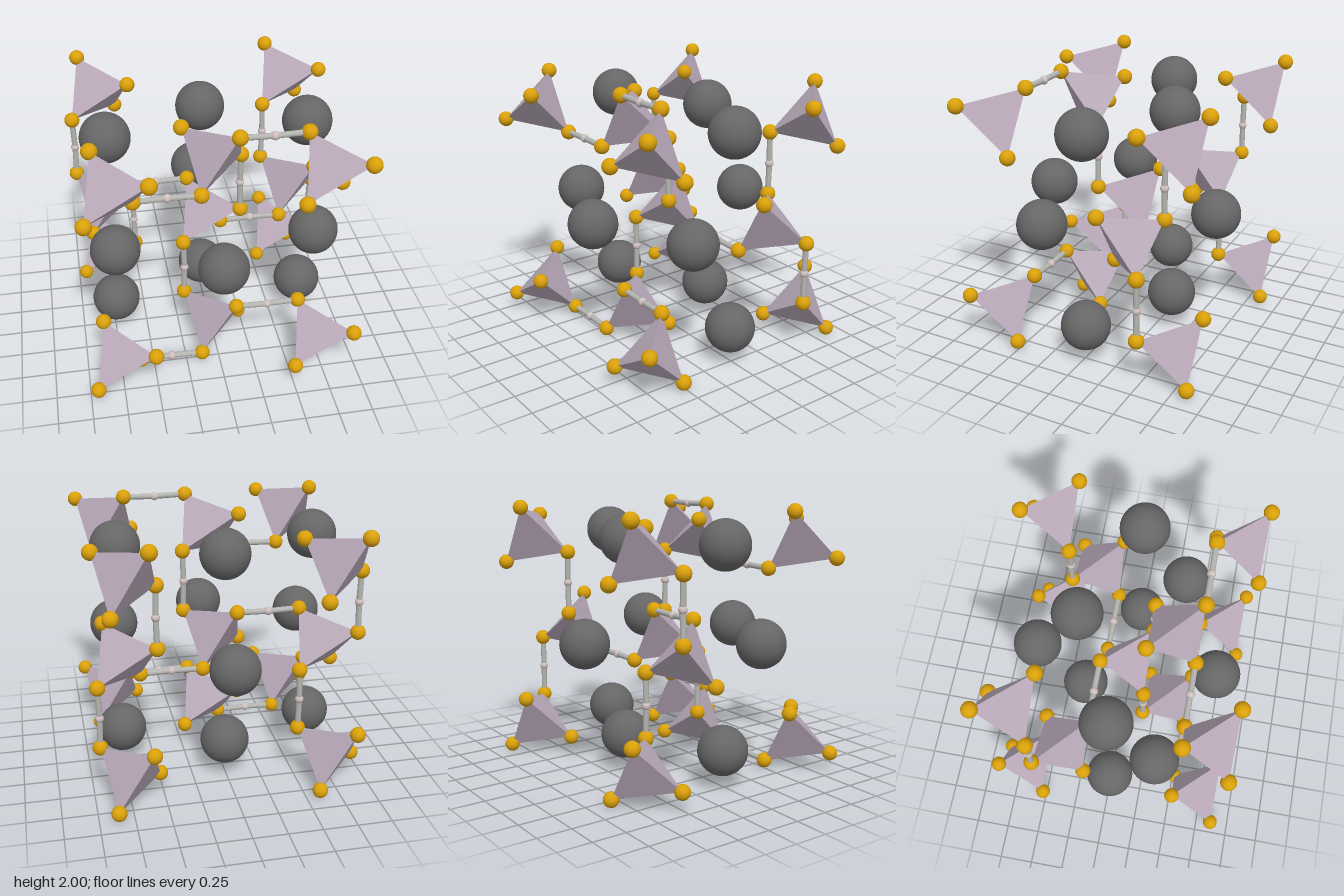
import * as THREE from 'three';
import { ConvexGeometry } from 'three/addons/geometries/ConvexGeometry.js';

const A = 0.729;   // half lattice step across x and y
const C = 0.3425;  // lattice layer step along z
const P = 0.213, Q = 0.13; // corner offsets of a tetrahedron

const paint = (color) => new THREE.MeshStandardMaterial({ color });

export function createModel() {
  const model = new THREE.Group();
  const mats = {
    tetra: paint(0xb8a8b8), corner: paint(0xd9a00a), large: paint(0x666666),
    bead: paint(0xd0bfbf), rod: paint(0xb4b4b0),
  };
  mats.tetra.flatShading = true;
  const balls = {
    corner: new THREE.SphereGeometry(0.056, 24, 16),
    large: new THREE.SphereGeometry(0.181, 40, 28),
    bead: new THREE.SphereGeometry(0.031, 20, 14),
  };

  function ball(kind, name, pos) {
    const mesh = new THREE.Mesh(balls[kind], mats[kind]);
    mesh.name = name;
    mesh.position.copy(pos);
    model.add(mesh);
  }

  function rod(a, b) {
    const dir = b.clone().sub(a);
    const mesh = new THREE.Mesh(new THREE.CylinderGeometry(0.021, 0.021, dir.length(), 16), mats.rod);
    mesh.name = 'bondRod';
    mesh.position.copy(a).add(b).multiplyScalar(0.5);
    mesh.quaternion.setFromUnitVectors(new THREE.Vector3(0, 1, 0), dir.normalize());
    model.add(mesh);
  }

  // Tetrahedron with a ball on each corner; mirrored sites are flipped in x
  const corners = [];
  let count = 0;
  function tetrahedron(center, flipped) {
    const s = flipped ? -1 : 1;
    const zs = flipped ? -1 : 1;
    const offsets = [[P, Q, 1], [-P, -Q, 1], [-Q, P, -1], [Q, -P, -1]];
    const pts = offsets.map(([x, y, z]) =>
      new THREE.Vector3(s * x, y, zs * z * C / 2).add(center));
    const mesh = new THREE.Mesh(new ConvexGeometry(pts), mats.tetra);
    mesh.name = 'tetrahedron';
    model.add(mesh);
    for (const p of pts) {
      ball('corner', 'cornerBall', p);
      corners.push({ p, center, id: count });
    }
    count++;
  }

  // Lattice: each column of the 3 x 3 grid alternates tetrahedra and large balls along z
  for (let i = -1; i <= 1; i++) {
    for (let j = -1; j <= 1; j++) {
      const at = (layer) => new THREE.Vector3(i * A, 1 + j * A, layer * C);
      const flipped = (i + j) % 2 !== 0;
      let tetraLayers, ballLayers;
      if (flipped) [tetraLayers, ballLayers] = i === 0 ? [[1], [-1]] : [[-1], [1]];
      else [tetraLayers, ballLayers] = i === 0 ? [[0], [-2, 2]] : [[-2, 2], [0]];
      tetraLayers.forEach((k) => tetrahedron(at(k), flipped));
      ballLayers.forEach((k) => ball('large', 'largeBall', at(k)));
    }
  }

  // Bonds: join facing corners of neighbouring tetrahedra, with a bead in the middle
  corners.forEach((a, n) => {
    for (const b of corners.slice(n + 1)) {
      const d = b.p.clone().sub(a.p);
      const aligned = Math.min(Math.abs(d.x), Math.abs(d.y)) < 0.01 && Math.abs(d.z) < 0.01;
      if (a.id === b.id || !aligned || d.length() > 0.5) continue;
      // The bead sits slightly inward, giving the bond a faint bend
      const mid = a.p.clone().add(b.p).multiplyScalar(0.5);
      const inward = a.center.clone().add(b.center).multiplyScalar(0.5).sub(mid).setZ(0);
      mid.addScaledVector(inward, 0.025);
      ball('bead', 'bondBead', mid);
      rod(a.p, mid);
      rod(mid, b.p);
    }
  });

  return model;
}
